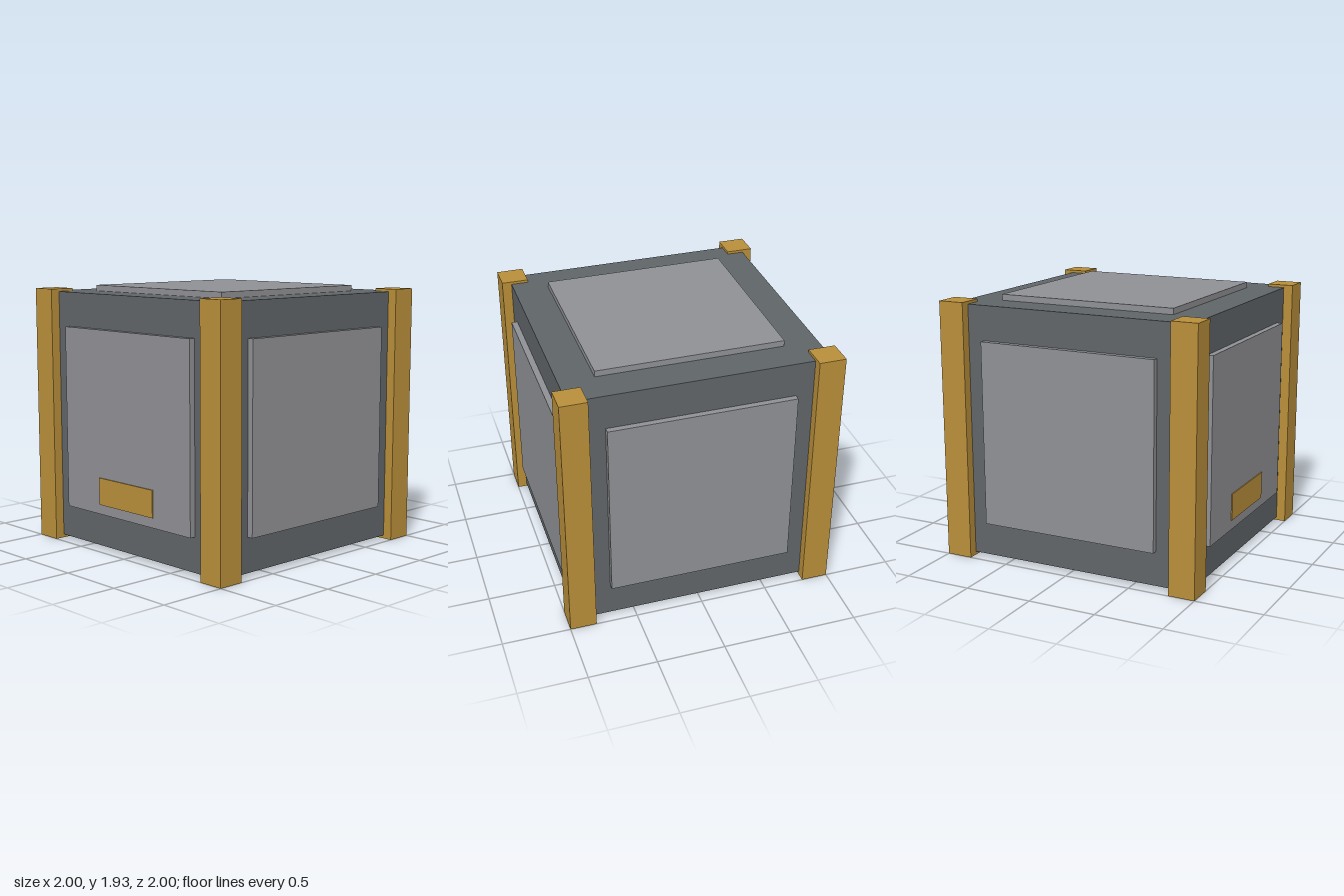
import * as THREE from 'three';

export function createModel() {
  const model = new THREE.Group();
  model.name = 'crate';

  const material = (name, color) => {
    const m = new THREE.MeshStandardMaterial({ color });
    m.name = name;
    return m;
  };
  const darkGrey = material('dark grey', 0x606568);
  const lightGrey = material('light grey', 0x909195);
  const gold = material('gold', 0xb98f3a);

  const addBox = (parent, name, size, position, mat) => {
    const mesh = new THREE.Mesh(new THREE.BoxGeometry(...size), mat);
    mesh.name = name;
    mesh.position.set(...position);
    parent.add(mesh);
    return mesh;
  };

  // Main body, lifted slightly off the ground by the posts
  const midY = 0.955, half = 0.93;
  addBox(model, 'body', [half * 2, half * 2, half * 2], [0, midY, 0], darkGrey);

  // Four corner posts
  const postWidth = 0.195, postHeight = 1.905;
  const postOffset = 1 - postWidth / 2;
  for (const x of [-1, 1]) {
    for (const z of [-1, 1]) {
      const name = (z > 0 ? 'front' : 'back') + (x > 0 ? 'Left' : 'Right') + 'Post';
      addBox(model, name, [postWidth, postHeight, postWidth],
        [x * postOffset, postHeight / 2, z * postOffset], gold);
    }
  }

  // Raised panels on the four sides
  const panelSize = 1.355, panelDepth = 0.044;
  const panelOffset = half + panelDepth / 2;
  ['front', 'left', 'back', 'right'].forEach((side, i) => {
    const pivot = new THREE.Group();
    pivot.name = side + 'Side';
    pivot.rotation.y = i * Math.PI / 2;
    addBox(pivot, side + 'Panel', [panelSize, panelSize, panelDepth],
      [0, midY, panelOffset], lightGrey);
    model.add(pivot);
  });

  // Raised panel on the lid
  addBox(model, 'topPanel', [panelSize, panelDepth, panelSize],
    [0, midY + panelOffset, 0], lightGrey);

  // Thin plate low on the front panel
  addBox(model, 'frontPlate', [0.59, 0.2, 0.008],
    [0, 0.45, half + panelDepth + 0.004], gold);

  return model;
}
